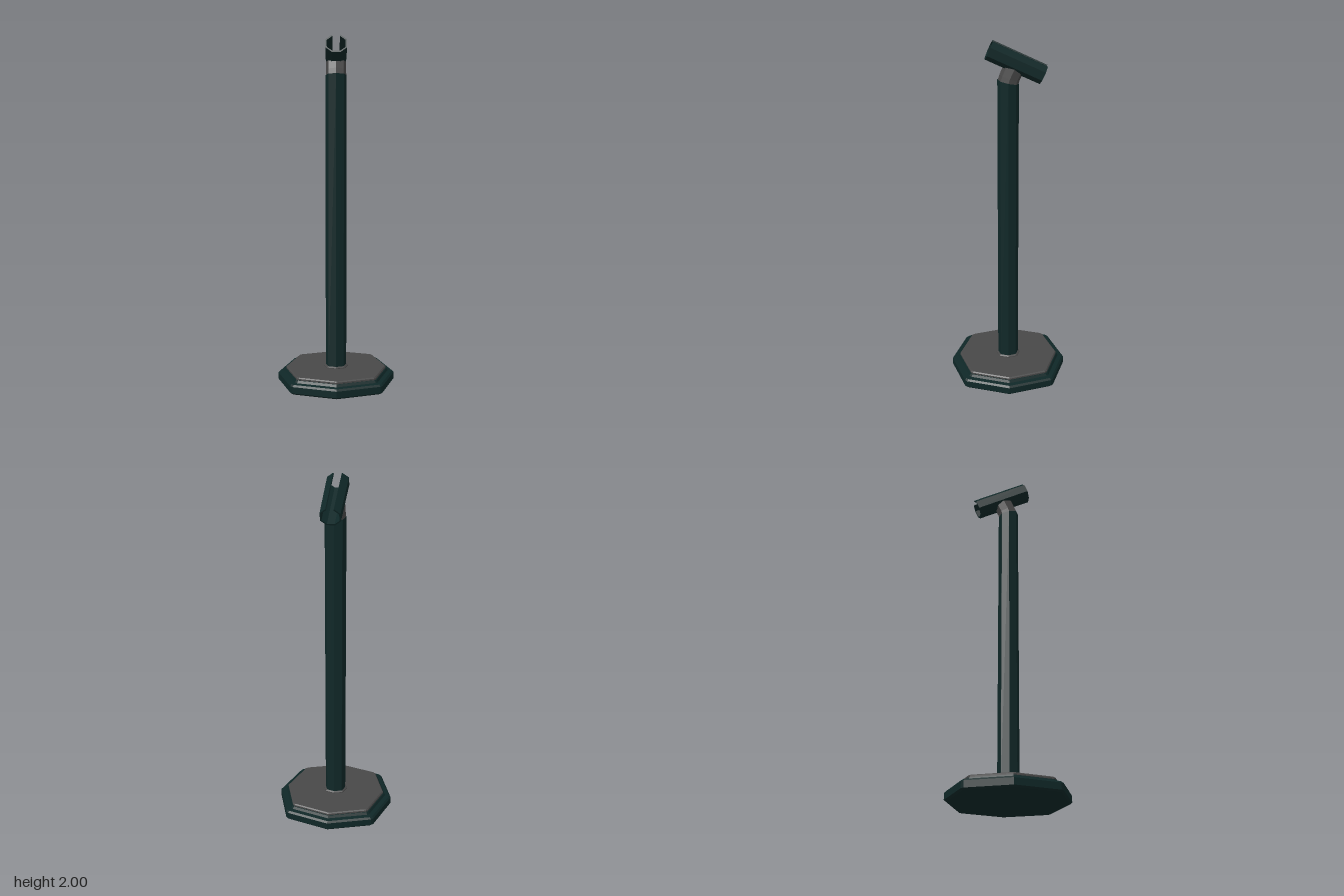
import * as THREE from 'three';

const green = new THREE.MeshStandardMaterial({ color: 0x0f2727 });
green.name = 'darkGreen';
const gray = new THREE.MeshStandardMaterial({ color: 0x484848 });
gray.name = 'darkGray';

// Octagon with clipped diagonal corners, radius 1 on the axes
const outline = [];
for (let q = 0; q < 4; q++) {
  for (const [x, z] of [[1, 0], [0.765, 0.727], [0.727, 0.765]]) {
    const c = [1, 0, -1, 0][q], s = [0, 1, 0, -1][q];
    outline.push([x * c - z * s, x * s + z * c]);
  }
}

// Skin a stack of rings from bottom to top; each may shift, tilt and rise at its sides
function loft(rings) {
  const pos = [];
  const point = ({ r, y, z = 0, tilt = 0, saddle = 0 }, i) => {
    const [ox, oz] = outline[i % outline.length];
    const px = ox * r, pz = oz * r;
    const rise = Math.max(0, Math.abs(px) - 0.025) * saddle;
    return [
      px,
      y + pz * Math.sin(tilt) + rise * Math.cos(tilt),
      z + pz * Math.cos(tilt) - rise * Math.sin(tilt),
    ];
  };
  for (let j = 0; j < rings.length - 1; j++) {
    const lo = rings[j], hi = rings[j + 1];
    for (let i = 0; i < outline.length; i++) {
      const a = point(lo, i), b = point(lo, i + 1), c = point(hi, i), d = point(hi, i + 1);
      if (lo.r > 0) pos.push(...a, ...c, ...b);
      if (hi.r > 0) pos.push(...b, ...c, ...d);
    }
  }
  const g = new THREE.BufferGeometry();
  g.setAttribute('position', new THREE.Float32BufferAttribute(pos, 3));
  g.computeVertexNormals();
  return g;
}

const stack = (pairs) => loft(pairs.map(([r, y]) => ({ r, y })));

export function createModel() {
  const model = new THREE.Group();
  model.name = 'stand';
  const add = (name, geometry, material) => {
    const mesh = new THREE.Mesh(geometry, material);
    mesh.name = name;
    model.add(mesh);
    return mesh;
  };

  // Weighted foot with a bevelled rim and a raised lip
  add('base', stack([
    [0, 0], [0.328, 0], [0.34, 0.01], [0.34, 0.047], [0.33, 0.057],
    [0.305, 0.06], [0.297, 0.073], [0, 0.073],
  ]), green);
  add('baseTop', stack([[0.293, 0.072], [0.293, 0.082], [0.287, 0.088], [0, 0.088]]), gray);
  add('poleCollar', stack([[0.07, 0.087], [0.07, 0.092], [0.062, 0.098], [0.05, 0.098]]), gray);

  // Pole, cut at a slant where it meets the neck
  add('pole', loft([
    { r: 0.06, y: 0.085 },
    { r: 0.06, y: 1.777, tilt: 0.21 },
    { r: 0, y: 1.777 },
  ]), green);

  // Neck leaning back and saddled up to the holder's underside
  const tilt = 0.43;
  add('neck', loft([
    { r: 0.058, y: 1.775, tilt: 0.21 },
    { r: 0.057, y: 1.80, z: -0.008, tilt: 0.36 },
    { r: 0.057, y: 1.831, z: -0.022, tilt, saddle: 0.78 },
  ]), gray);

  // Holder: octagonal tube with its top face left open
  const half = [[0.025, 0.052], [0.06, 0.024], [0.06, -0.024], [0.025, -0.052]];
  const inner = [[0.022, -0.044], [0.052, -0.021], [0.052, 0.02], [0.021, 0.045]];
  const mirror = (pts) => pts.map(([x, y]) => [-x, y]).reverse();
  const section = [...half, ...mirror(half), ...mirror(inner), ...inner.slice()];
  const shape = new THREE.Shape(section.map(([x, y]) => new THREE.Vector2(x, y)));
  const length = 0.324;
  const tube = new THREE.ExtrudeGeometry(shape, { depth: length, bevelEnabled: false });
  tube.translate(0, 0, -length / 2);

  // Slight narrowing towards the rear
  const p = tube.attributes.position;
  for (let i = 0; i < p.count; i++) {
    p.setX(i, p.getX(i) * (0.96 + 0.04 * (p.getZ(i) / (length / 2))));
  }
  tube.computeVertexNormals();
  const holder = add('holder', tube, green);
  holder.position.set(0, 1.882, -0.044);
  holder.rotation.x = -tilt;

  return model;
}
